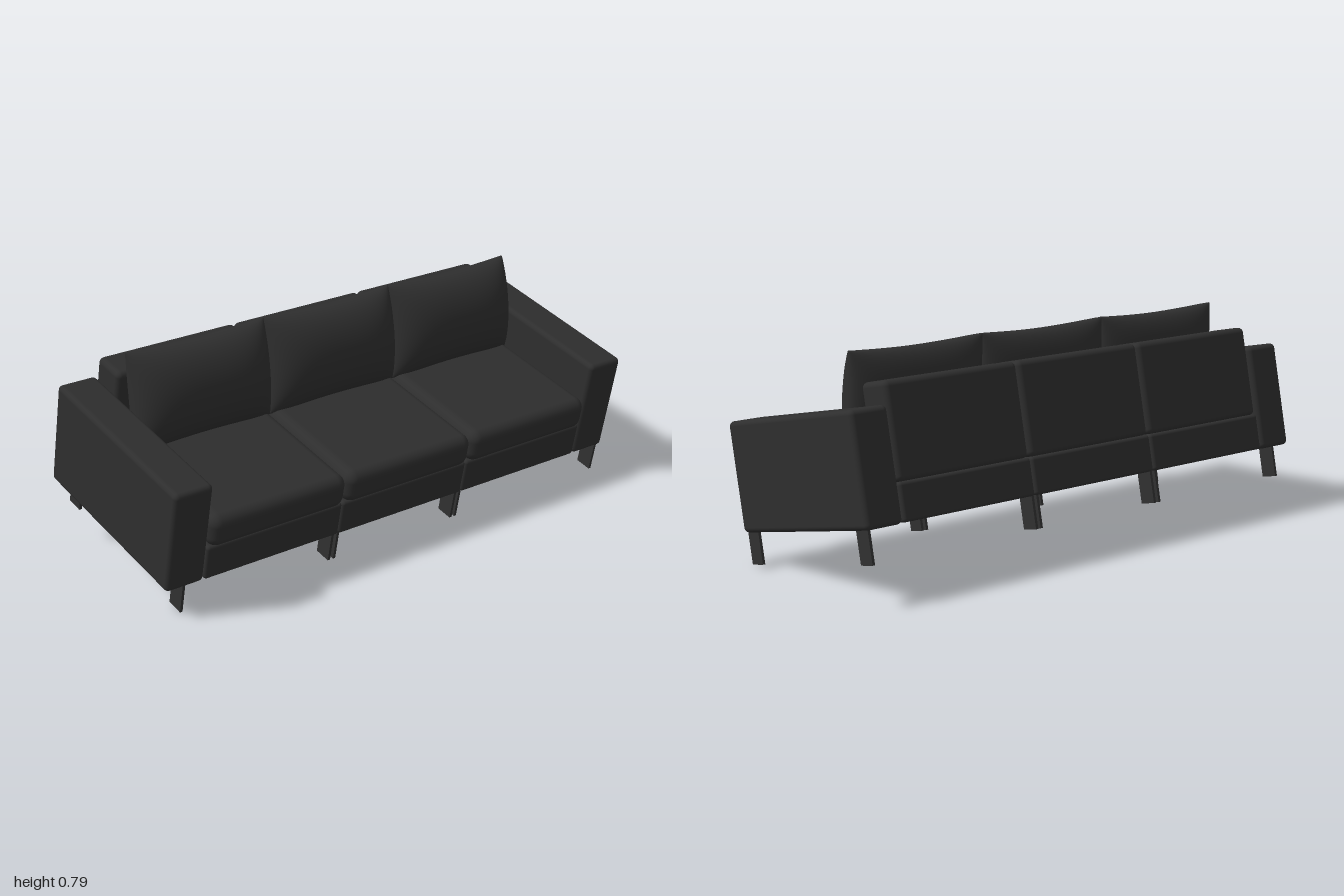
import * as THREE from 'three';
import { RoundedBoxGeometry } from 'three/addons/geometries/RoundedBoxGeometry.js';
import { mergeVertices } from 'three/addons/utils/BufferGeometryUtils.js';

const fabric = new THREE.MeshStandardMaterial({ color: 0x2e2e2e });
fabric.name = 'charcoal fabric';
const legPaint = new THREE.MeshStandardMaterial({ color: 0x303030 });
legPaint.name = 'dark leg paint';

// Rounded block given by its lower and upper limits on each axis
function block(name, [x0, x1], [y0, y1], [z0, z1], radius) {
  const geo = new RoundedBoxGeometry(x1 - x0, y1 - y0, z1 - z0, 4, radius);
  const mesh = new THREE.Mesh(geo, fabric);
  mesh.position.set((x0 + x1) / 2, (y0 + y1) / 2, (z0 + z1) / 2);
  mesh.name = name;
  return mesh;
}

// Stuffed pillow: thin seam round the rim, fuller in front than behind
function pillowGeometry(w, h, front, back) {
  let geo = new THREE.BoxGeometry(2, 2, 2, 32, 24, 1);
  geo.deleteAttribute('uv');
  geo.deleteAttribute('normal');
  geo = mergeVertices(geo);
  const p = geo.attributes.position;
  for (let i = 0; i < p.count; i++) {
    // Crowd the grid towards the rim, where the curvature is strongest
    const a = Math.sin(p.getX(i) * Math.PI / 2);
    const b = Math.sin(p.getY(i) * Math.PI / 2);
    const full = 0.04 + 0.96 * Math.sqrt(Math.max(0, (1 - a ** 4) * (1 - b * b)));
    const z = p.getZ(i) > 0 ? front * full : -back * full;
    const x = a * w / 2 * (1 - 0.012 * (1 - b * b));
    const y = b * h / 2 * (1 - 0.07 * (1 - a * a));
    p.setXYZ(i, x, y, z);
  }
  geo.computeVertexNormals();
  return geo;
}

export function createModel() {
  const model = new THREE.Group();
  model.name = 'sofa';

  // The whole sofa leans forward, with its back legs raised
  const sofa = new THREE.Group();
  sofa.name = 'tiltedSofa';
  sofa.rotation.x = THREE.MathUtils.degToRad(12);
  model.add(sofa);

  // Arms
  for (const [name, x] of [['leftArm', [0.847, 0.997]], ['rightArm', [-0.997, -0.847]]]) {
    sofa.add(block(name, x, [0.176, 0.566], [-0.444, 0.302], 0.018));
  }

  // Three seat modules
  const pillow = pillowGeometry(0.566, 0.36, 0.115, 0.07);
  for (const i of [-1, 0, 1]) {
    const c = i * 0.564;
    const x = [c - 0.281, c + 0.281];
    const part = new THREE.Group();
    part.name = 'seatModule';
    part.add(block('base', x, [0.178, 0.311], [-0.443, 0.302], 0.012));
    part.add(block('backrest', x, [0.309, 0.643], [-0.438, -0.303], 0.02));
    part.add(block('seatCushion', x, [0.306, 0.43], [-0.315, 0.319], 0.04));

    const cushion = new THREE.Mesh(pillow, fabric);
    cushion.name = 'backCushion';
    cushion.position.set(c, 0.58, -0.216);
    cushion.rotation.x = THREE.MathUtils.degToRad(-17);
    part.add(cushion);
    sofa.add(part);
  }

  // Flat plate legs, paired where modules meet
  const legGeo = new THREE.BoxGeometry(0.01, 0.119, 0.065);
  for (const x of [-0.918, -0.297, -0.274, 0.267, 0.288, 0.979]) {
    for (const z of [0.257, -0.399]) {
      const leg = new THREE.Mesh(legGeo, legPaint);
      leg.name = z > 0 ? 'frontLeg' : 'backLeg';
      leg.position.set(x, 0.1225, z);
      sofa.add(leg);
    }
  }
  return model;
}
